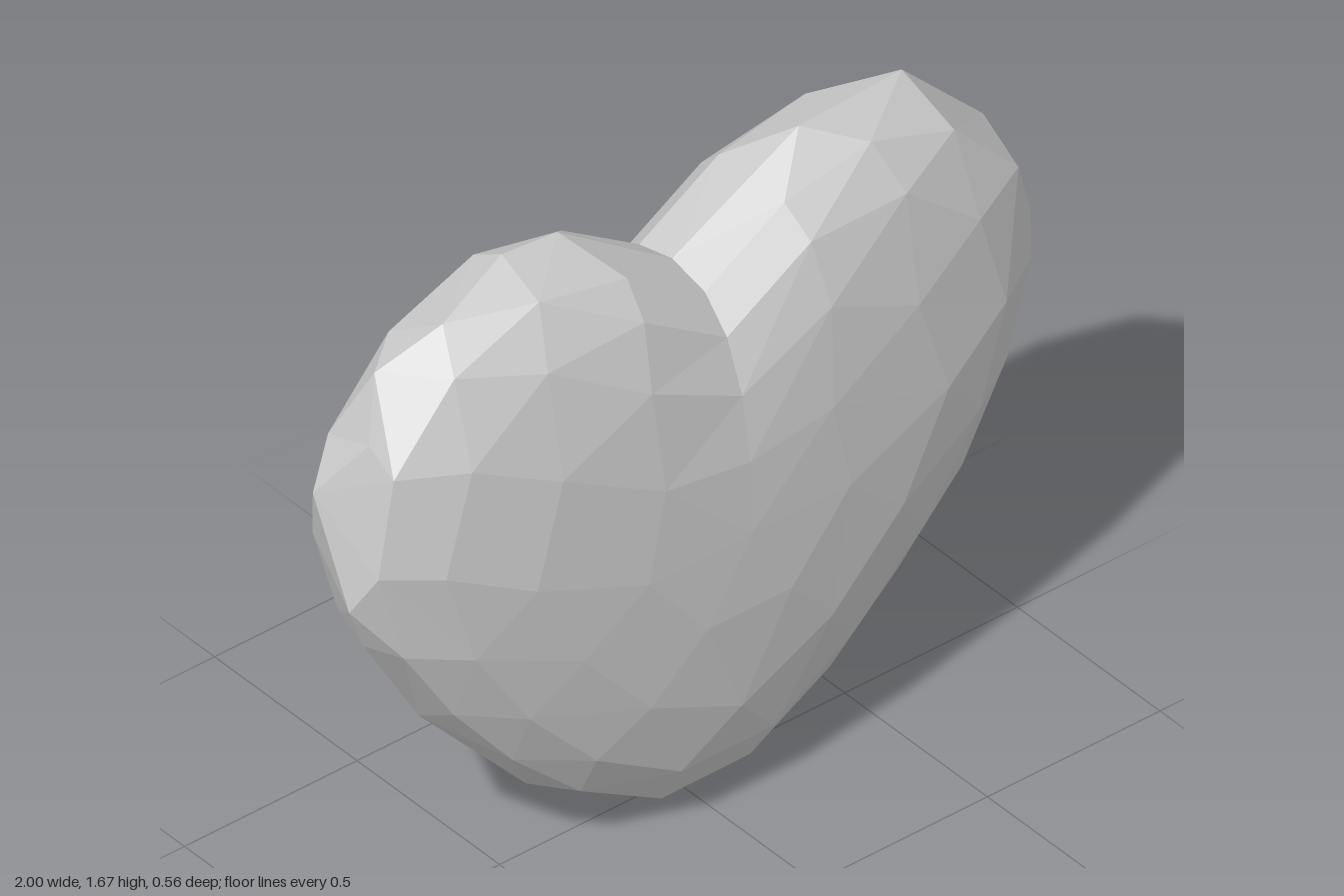
import * as THREE from 'three';

// Rim of the heart, clockwise from the cleft: x, y, z
const RIM = [
  [0, 1.455, 0], [0.35, 1.67, 0.02], [0.69, 1.635, -0.03], [0.95, 1.37, -0.06], [0.98, 1.16, 0.07],
  [1, 1.01, 0], [0.9, 0.79, -0.06], [0.78, 0.575, 0], [0.62, 0.4, 0.05], [0.4, 0.19, -0.05],
  [0.15, 0.04, 0.02], [-0.07, 0, -0.05], [-0.44, 0.21, 0.02], [-0.71, 0.5, -0.03], [-0.92, 0.83, 0.03],
  [-0.985, 0.97, 0.06], [-1, 1.25, -0.05], [-0.92, 1.4, 0.05], [-0.83, 1.51, -0.04],
  [-0.69, 1.62, 0.03], [-0.47, 1.675, -0.03], [-0.3, 1.65, -0.04],
];
const CENTER = new THREE.Vector2(0, 0.85);
const HALF_DEPTH = 0.28;
const BULGE = 2.5;

// Inner rings of each face: scale toward the centre and number of corners
const RINGS = [[0.955, 21], [0.82, 17], [0.6, 12], [0.32, 7]];

function createHeartGeometry() {
  const positions = [];
  const outline = new THREE.Path().setFromPoints(
    [...RIM, RIM[0]].map(([x, y]) => new THREE.Vector2(x, y)));
  const lengths = outline.getCurveLengths();
  const total = lengths[lengths.length - 1];

  // Each ring is a list of { t, p }, starting at the cleft
  const rim = RIM.map((p, i) => ({ t: i ? lengths[i - 1] / total : 0, p }));

  const makeRing = (scale, count, side) => {
    const z = side * HALF_DEPTH * Math.pow(1 - Math.pow(scale, BULGE), 1 / BULGE);
    return Array.from({ length: count }, (_, i) => {
      const t = i / count;
      const q = outline.getPoint(t).sub(CENTER).multiplyScalar(scale).add(CENTER);
      return { t, p: [q.x, q.y, z] };
    });
  };

  const addTriangle = (a, b, c, side) => {
    if (side > 0) positions.push(...a, ...b, ...c);
    else positions.push(...a, ...c, ...b);
  };

  // Join two rings of different counts, always advancing the nearer corner
  const stitch = (outer, inner, side) => {
    let i = 0, j = 0;
    const at = (ring, k) => ring[k % ring.length].p;
    const time = (ring, k) => (k < ring.length ? ring[k].t : 1);
    while (i < outer.length || j < inner.length) {
      const moveOuter = j >= inner.length ||
        (i < outer.length && time(outer, i + 1) <= time(inner, j + 1));
      if (moveOuter) {
        addTriangle(at(outer, i + 1), at(outer, i), at(inner, j), side);
        i++;
      } else {
        addTriangle(at(inner, j), at(inner, j + 1), at(outer, i), side);
        j++;
      }
    }
  };

  // Front and back faces share the rim
  for (const side of [1, -1]) {
    let outer = rim;
    for (const [scale, count] of RINGS) {
      const inner = makeRing(scale, count, side);
      stitch(outer, inner, side);
      outer = inner;
    }
    const middle = [CENTER.x, CENTER.y, side * HALF_DEPTH];
    outer.forEach(({ p }, i) => addTriangle(outer[(i + 1) % outer.length].p, p, middle, side));
  }

  const geometry = new THREE.BufferGeometry();
  geometry.setAttribute('position', new THREE.Float32BufferAttribute(positions, 3));
  geometry.computeVertexNormals();
  return geometry;
}

export function createModel() {
  const group = new THREE.Group();
  const material = new THREE.MeshStandardMaterial({ color: 0xcccccc, flatShading: true });
  const heart = new THREE.Mesh(createHeartGeometry(), material);
  heart.name = 'heart';
  group.add(heart);
  return group;
}
